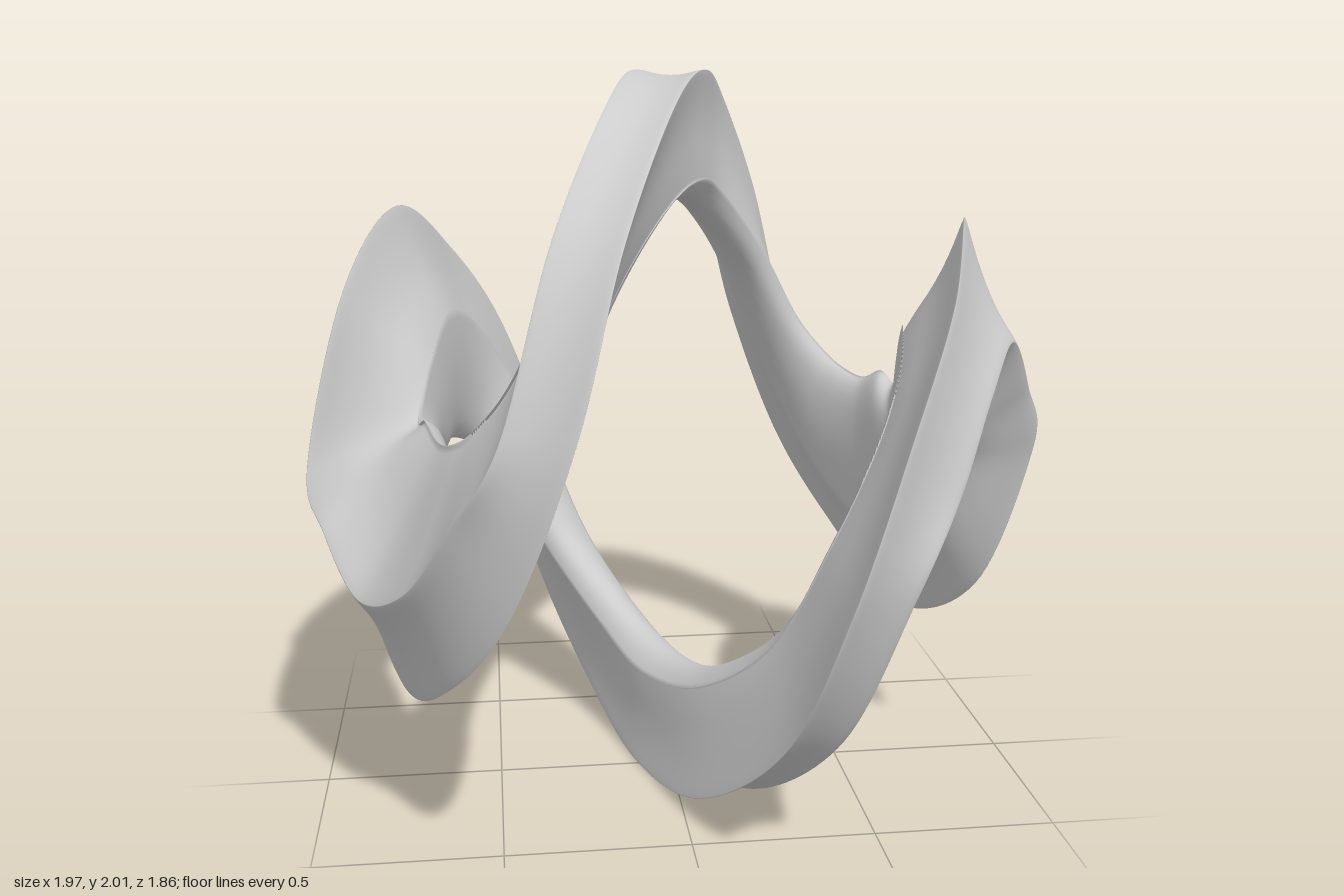
import * as THREE from 'three';

// One quarter of the looping band, from the top crossing to the side crossing.
// Each station lists the four section corners: outer A, outer B, inner C, inner D.
const QUARTER = [
  [[-.1, 1.01, 0], [.1, 1.01, 0], [.09, .7, 0], [-.09, .7, 0]],
  [[.03, .93, -.4], [.21, .92, -.38], [.19, .64, -.23], [.04, .64, -.27]],
  [[.19, .63, -.77], [.36, .63, -.71], [.34, .46, -.41], [.2, .44, -.5]],
  [[.31, .22, -.93], [.49, .2, -.86], [.46, .26, -.48], [.33, .14, -.59]],
  [[.46, -.2, -.87], [.61, -.02, -.78], [.54, .16, -.46], [.45, -.1, -.55]],
  [[.61, -.47, -.65], [.73, -.23, -.62], [.59, .12, -.41], [.53, -.25, -.43]],
  [[.75, -.64, -.25], [.86, -.32, -.39], [.63, .11, -.34], [.6, -.33, -.2]],
  [[.88, -.45, .12], [.95, -.17, -.28], [.66, .14, -.26], [.65, -.24, .03]],
  [[.985, 0, .25], [.985, 0, -.25], [.68, .11, -.17], [.68, -.11, .17]],
];
const SWAP = [1, 0, 3, 2];

// Closed corner rail: the quarter repeated by half turns about x, z and y.
function makeRail(corner) {
  const last = QUARTER.length - 1;
  const points = [];
  const add = (station, k, sx, sy, sz) => {
    const [x, y, z] = QUARTER[station][k];
    points.push(new THREE.Vector3(x * sx, y * sy, z * sz));
  };
  for (let i = 0; i < last; i++) add(i, corner, 1, 1, 1);
  for (let i = last; i > 0; i--) add(i, SWAP[corner], 1, -1, -1);
  for (let i = 0; i < last; i++) add(i, corner, -1, -1, 1);
  for (let i = last; i > 0; i--) add(i, SWAP[corner], -1, 1, -1);
  return new THREE.CatmullRomCurve3(points, true, 'catmullrom', 0.5);
}

// Section in unit coordinates: hollow outer face and walls, rounded inner face.
function makeSection() {
  const steps = [.02, .06, .12, .2, .3, .4, .5, .6, .7, .8, .88, .94, .98];
  const hollow = [.06, .08, -.12, .08];
  const crisp = { depth: .015, reach: .12 };
  const round = { depth: .06, reach: .35 };
  const ends = [[crisp, crisp], [crisp, round], [round, round], [round, crisp]];
  const soften = ({ depth, reach }, s) => depth * Math.max(0, 1 - s / reach) ** 2;
  const section = [];
  for (let side = 0; side < 4; side++) {
    for (const s of steps) {
      const d = hollow[side] * 4 * s * (1 - s)
        + soften(ends[side][0], s) + soften(ends[side][1], 1 - s);
      section.push([[s, d], [1 - d, s], [1 - s, 1 - d], [d, 1 - s]][side]);
    }
  }
  return section;
}

function makeBandGeometry(rings) {
  const rails = [0, 1, 2, 3].map(makeRail);
  const section = makeSection();
  const n = section.length;
  const positions = [];
  const indices = [];
  const outer = new THREE.Vector3();
  const inner = new THREE.Vector3();
  for (let i = 0; i < rings; i++) {
    const [a, b, c, d] = rails.map((rail) => rail.getPoint(i / rings));
    for (let j = 0; j < n; j++) {
      const [u, v] = section[j];
      outer.lerpVectors(a, b, u);
      inner.lerpVectors(d, c, u);
      outer.lerp(inner, v);
      positions.push(outer.x, outer.y + 1, outer.z);
      const i2 = (i + 1) % rings;
      const j2 = (j + 1) % n;
      const p = i * n + j, q = i * n + j2, r = i2 * n + j, s = i2 * n + j2;
      indices.push(p, q, r, q, s, r);
    }
  }
  const geometry = new THREE.BufferGeometry();
  geometry.setAttribute('position', new THREE.Float32BufferAttribute(positions, 3));
  geometry.setIndex(indices);
  geometry.computeVertexNormals();
  return geometry;
}

export function createModel() {
  const group = new THREE.Group();
  group.name = 'loopingSculpture';
  const material = new THREE.MeshStandardMaterial({ color: 0xcccccc });
  const band = new THREE.Mesh(makeBandGeometry(384), material);
  band.name = 'loopingBand';
  group.add(band);
  return group;
}
